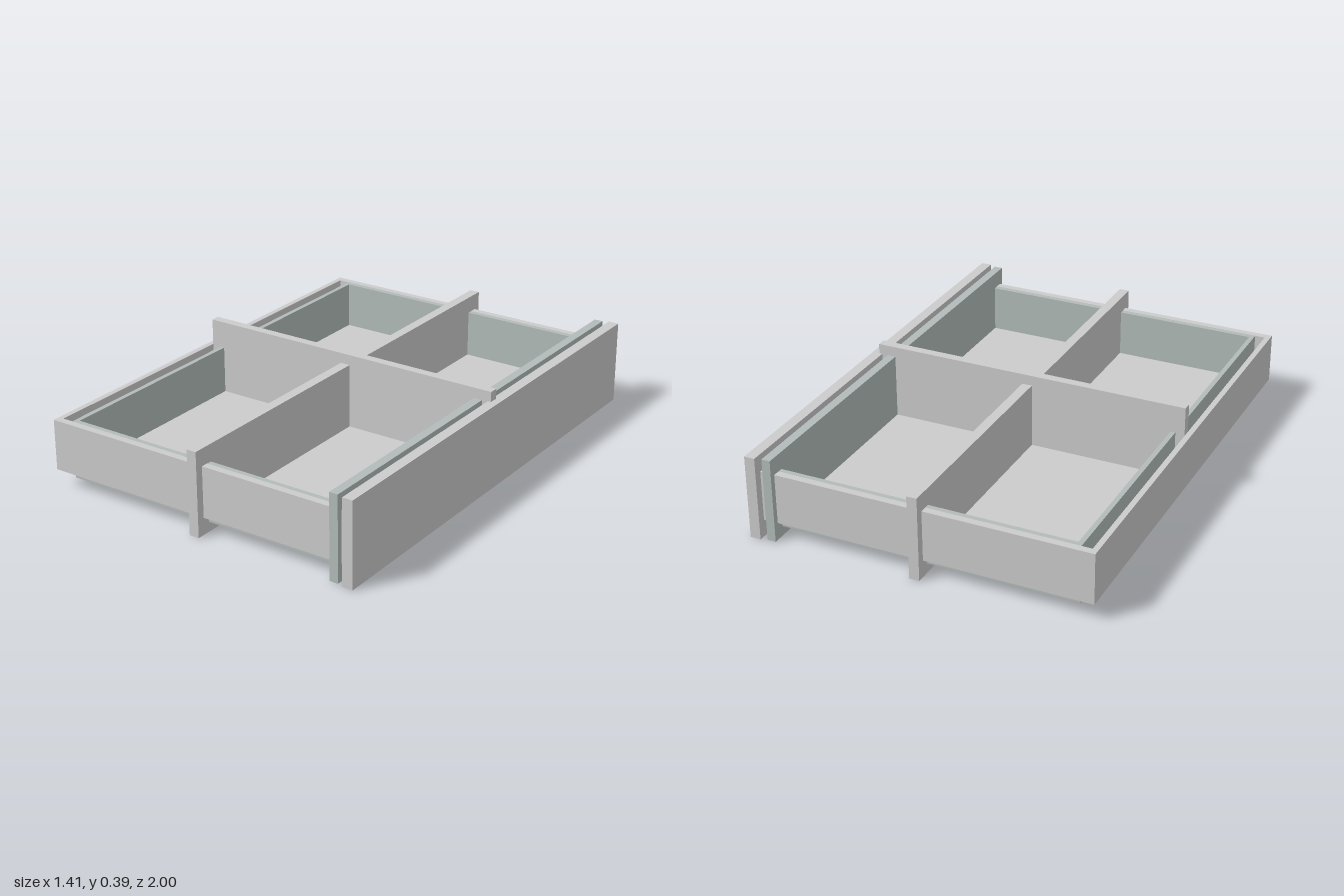
import * as THREE from 'three';

export function createModel() {
  const model = new THREE.Group();
  const grey = new THREE.MeshStandardMaterial({ color: 0xcccccc });
  const tinted = new THREE.MeshStandardMaterial({ color: 0xb2bcb9 });

  // Box given by its lower and upper limits on each axis
  function board(name, [x0, x1], [y0, y1], [z0, z1], material = grey) {
    const mesh = new THREE.Mesh(new THREE.BoxGeometry(x1 - x0, y1 - y0, z1 - z0), material);
    mesh.position.set((x0 + x1) / 2, (y0 + y1) / 2, (z0 + z1) / 2);
    mesh.name = name;
    model.add(mesh);
  }

  // Rectangular wall ring, open at top and bottom
  function frame(name, outerX, outerZ, innerX, innerZ, y0, y1, material) {
    const rect = (P, x, z) => new P([[-x, -z], [x, -z], [x, z], [-x, z]].map(p => new THREE.Vector2(...p)));
    const shape = rect(THREE.Shape, outerX, outerZ);
    shape.holes.push(rect(THREE.Path, innerX, innerZ));
    const geometry = new THREE.ExtrudeGeometry(shape, { depth: y1 - y0, bevelEnabled: false });
    geometry.rotateX(-Math.PI / 2);
    const mesh = new THREE.Mesh(geometry, material);
    mesh.position.y = y0;
    mesh.name = name;
    model.add(mesh);
  }

  // Tray: outer walls, floor, and a liner that leaves a groove along the sides
  frame('trayWalls', 0.703, 0.967, 0.68, 0.937, 0.07, 0.28, grey);
  board('trayFloor', [-0.69, 0.69], [0.071, 0.08], [-0.95, 0.95]);
  frame('linerWalls', 0.637, 0.938, 0.617, 0.915, 0.075, 0.279, tinted);
  board('linerBase', [-0.637, 0.637], [0.04, 0.075], [-0.936, 0.936], tinted);

  // Tall boards running the full length
  board('middleDivider', [-0.021, 0.021], [0, 0.35], [-1, 1]);
  board('innerSideBoard', [0.6, 0.636], [0, 0.35], [-0.99, 0.99], tinted);
  board('outerSideBoard', [0.661, 0.705], [0, 0.351], [-1, 1]);

  // Cross divider standing above the rest
  board('crossDivider', [-0.675, 0.675], [0.075, 0.393], [-0.022, 0.016]);

  return model;
}
